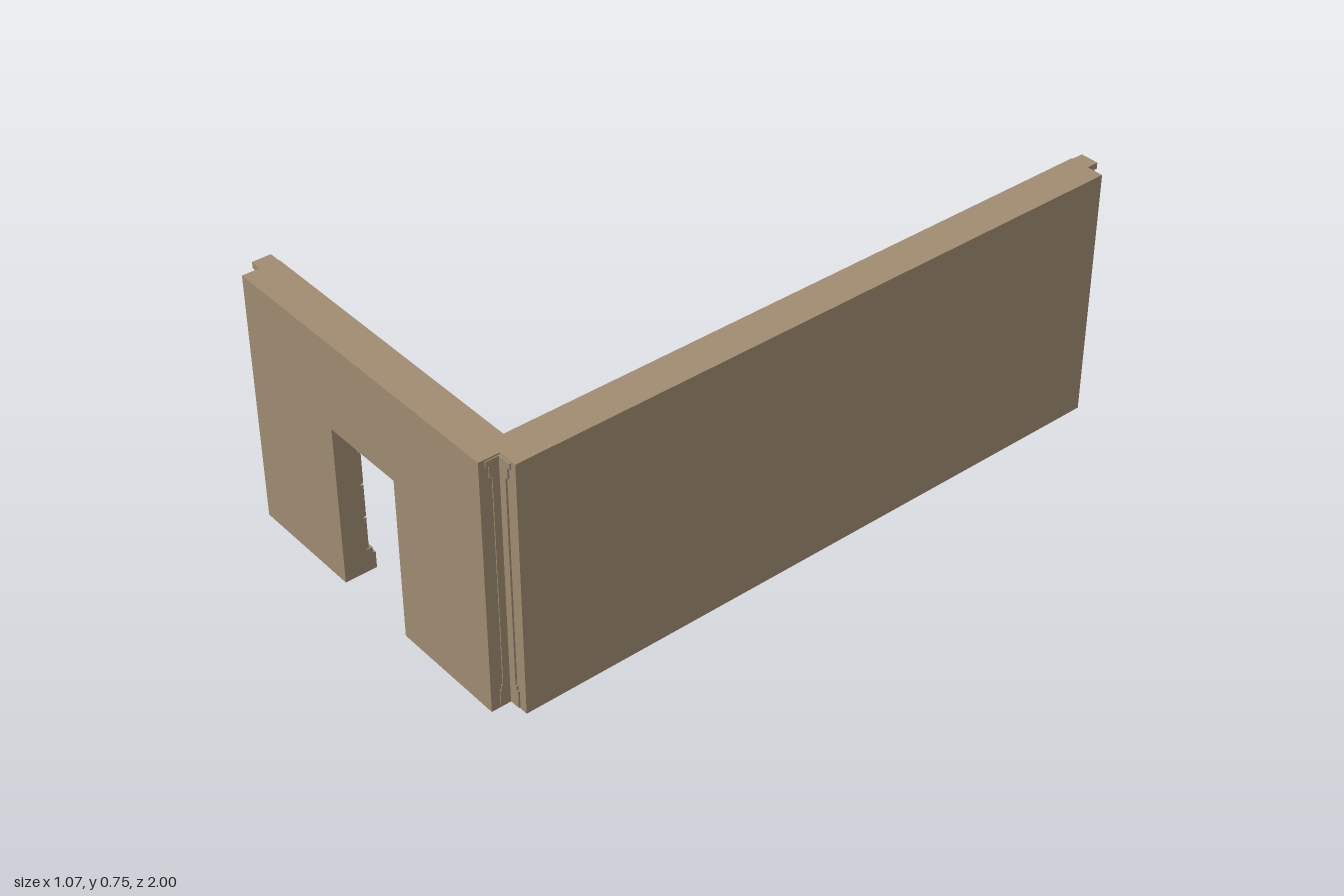
import * as THREE from 'three';

const stone = new THREE.MeshStandardMaterial({ color: 0xa08c70 });
stone.name = 'sandstone';

const HEIGHT = 0.75;
const BASE_TOP = 0.07, CORNICE_BOTTOM = 0.695;

// Box given by its limits on each axis
function block(parent, name, [x0, x1], [y0, y1], [z0, z1]) {
  const mesh = new THREE.Mesh(new THREE.BoxGeometry(x1 - x0, y1 - y0, z1 - z0), stone);
  mesh.position.set((x0 + x1) / 2, (y0 + y1) / 2, (z0 + z1) / 2);
  mesh.name = name;
  parent.add(mesh);
}

// Stepped column: shaft, two base steps, two cap steps
function makePillar(x) {
  const pillar = new THREE.Group();
  pillar.name = 'pillar';
  const steps = [
    ['pillarBase', 0.034, 0.004, 0.055, 0.041],
    ['pillarBaseStep', 0.029, 0.055, 0.07, 0.036],
    ['pillarShaft', 0.025, 0.07, 0.695, 0.031],
    ['pillarNeck', 0.033, 0.695, 0.727, 0.041],
    ['pillarCap', 0.042, 0.727, 0.745, 0.05],
  ];
  for (const [name, half, y0, y1, depth] of steps)
    block(pillar, name, [x - half, x + half], [y0, y1], [-depth, 0.005]);
  return pillar;
}

// Wall along local x: plain outside towards +z, coursed stone inside towards -z
function makeWall(name, half, door, seamRows) {
  const wall = new THREE.Group();
  wall.name = name;

  // Plain outer slab with optional doorway
  const outline = new THREE.Shape();
  const points = [[-half, 0], [-half, HEIGHT], [half, HEIGHT], [half, 0]];
  if (door) points.push([door.x1, 0], [door.x1, door.top], [door.x0, door.top], [door.x0, 0]);
  outline.setFromPoints(points.map(([x, y]) => new THREE.Vector2(x, y)));
  const slab = new THREE.Mesh(
    new THREE.ExtrudeGeometry(outline, { depth: 0.068, bevelEnabled: false }), stone);
  slab.position.z = -0.008;
  slab.name = 'wallSlab';
  wall.add(slab);

  // Raised stone courses, separated by narrow grooves
  const gap = 0.003;
  const rowHeight = (CORNICE_BOTTOM - BASE_TOP) / seamRows.length;
  seamRows.forEach((seams, row) => {
    const y0 = BASE_TOP + row * rowHeight;
    const blocked = door && y0 + rowHeight / 2 < door.top;
    const spans = blocked ? [[-half, door.x0], [door.x1, half]] : [[-half, half]];
    for (const [a, b] of spans) {
      const edges = [a, ...seams.filter((s) => s > a && s < b).sort((p, q) => p - q), b];
      for (let i = 0; i < edges.length - 1; i++) {
        const left = edges[i] + (i > 0 ? gap : 0);
        const right = edges[i + 1] - (i < edges.length - 2 ? gap : 0);
        block(wall, 'stoneBlock', [left, right], [y0 + gap, y0 + rowHeight - gap], [-0.016, -0.004]);
      }
    }
  });

  // Skirting, stopped at the doorway
  for (const [a, b] of door ? [[-half, door.x0], [door.x1, half]] : [[-half, half]]) {
    block(wall, 'skirting', [a, b], [0, 0.052], [-0.035, 0]);
    block(wall, 'skirtingStep', [a, b], [0.052, BASE_TOP], [-0.027, 0]);
  }

  // Stepped cornice
  block(wall, 'corniceStep', [-half, half], [CORNICE_BOTTOM, 0.727], [-0.034, 0]);
  block(wall, 'cornice', [-half, half], [0.727, HEIGHT], [-0.048, 0]);

  wall.add(makePillar(-half), makePillar(half));
  return wall;
}

export function createModel() {
  const model = new THREE.Group();
  model.name = 'cornerWalls';

  // Short front wall with doorway
  const front = makeWall('frontWall', 0.486, { x0: -0.131, x1: 0.131, top: 0.485 },
    [[-0.31, 0.23], [-0.23, 0.31], [-0.31, 0.23], [-0.23, 0.31], [-0.31, 0.23], [-0.23, 0.01, 0.23]]);
  front.position.set(-0.009, 0, 0.94);

  // Long side wall in running bond
  const even = [-0.7, -0.16, 0.06, 0.27, 0.49];
  const odd = [-0.81, -0.27, -0.05, 0.16, 0.38];
  const side = makeWall('sideWall', 0.9485, null, [even, odd, even, odd, even, odd]);
  side.rotation.y = Math.PI / 2;
  side.position.set(0.475, 0, -0.0085);

  model.add(front, side);
  return model;
}
